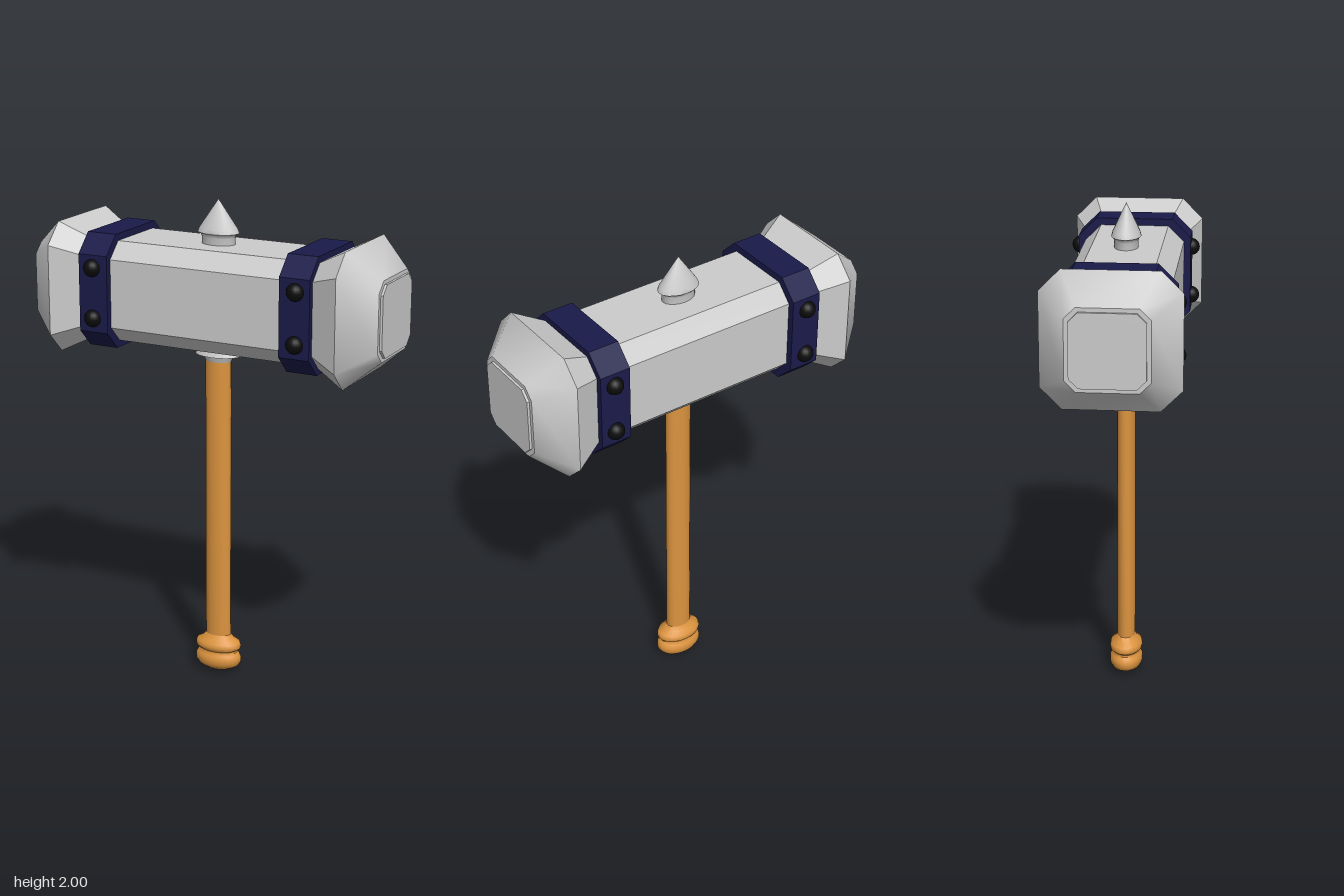
import * as THREE from 'three';
import { toCreasedNormals } from 'three/addons/utils/BufferGeometryUtils.js';

const HEAD_Y = 1.62;
const SQUASH = 0.68; // the shaft parts are oval, thinner front to back

const material = (color, flatShading = false) => new THREE.MeshStandardMaterial({ color, flatShading });

// Chamfered square cross-section in the (y, z) plane
function octagon(half, chamfer) {
  const k = half - chamfer;
  return [[half, k], [k, half], [-k, half], [-half, k], [-half, -k], [-k, -half], [k, -half], [half, -k]];
}

// Closed solid through chamfered squares [x, half, chamfer] with rising x
function loft(sections) {
  const pos = [];
  const rings = sections.map(([x, h, c]) => octagon(h, c).map(([y, z]) => [x, y, z]));
  const tri = (...corners) => corners.forEach((p) => pos.push(...p));
  for (let s = 0; s + 1 < rings.length; s++) {
    const a = rings[s], b = rings[s + 1];
    for (let i = 0; i < 8; i++) {
      const j = (i + 1) % 8;
      tri(a[i], a[j], b[j]);
      tri(a[i], b[j], b[i]);
    }
  }
  const first = rings[0], last = rings[rings.length - 1];
  for (let i = 1; i < 7; i++) {
    tri(first[0], first[i + 1], first[i]);
    tri(last[0], last[i], last[i + 1]);
  }
  const g = new THREE.BufferGeometry();
  g.setAttribute('position', new THREE.Float32BufferAttribute(pos, 3));
  g.computeVertexNormals();
  return g;
}

// Oval turned part from [radius, y] points, bottom to top
function turned(points, segments) {
  const g = new THREE.LatheGeometry(points.map(([r, y]) => new THREE.Vector2(r, y)), segments);
  g.scale(1, 1, SQUASH);
  return toCreasedNormals(g, 0.75);
}

export function createModel() {
  const model = new THREE.Group();
  const steel = material(0xcccccc), flatSteel = material(0xcccccc, true);
  const wood = material(0xdc943f), navy = material(0x1a1a4a, true), black = material(0x0c0c0c);

  const add = (parent, name, geometry, mat) => {
    const mesh = new THREE.Mesh(geometry, mat);
    mesh.name = name;
    parent.add(mesh);
    return mesh;
  };

  // Hammer head
  const head = new THREE.Group();
  head.name = 'head';
  head.position.y = HEAD_Y;
  model.add(head);
  add(head, 'headCore', loft([[-0.51, 0.203, 0.065], [0.51, 0.203, 0.065]]), flatSteel);

  const cap = toCreasedNormals(loft([[0.49, 0.2, 0.06], [0.622, 0.266, 0.083], [0.75, 0.158, 0.042]]), 0.65);
  const plate = loft([[0.74, 0.142, 0.036], [0.76, 0.142, 0.036]]);
  const band = loft([[0.375, 0.231, 0.075], [0.502, 0.231, 0.075]]);
  const rivet = new THREE.SphereGeometry(0.035, 16, 12);

  // Striking ends, bands and rivets, turned half round for the other side
  for (const side of ['left', 'right']) {
    const end = new THREE.Group();
    end.name = side + 'End';
    if (side === 'right') end.rotation.y = Math.PI;
    head.add(end);
    add(end, side + 'Cap', cap, steel);
    add(end, side + 'StrikingPlate', plate, flatSteel);
    add(end, side + 'Band', band, navy);
    for (const y of [-0.1, 0.104]) {
      for (const z of [-0.23, 0.23]) add(end, side + 'Rivet', rivet, black).position.set(0.442, y, z);
    }
  }

  // Spike on top and collar below the head
  add(model, 'topSpike', turned([[0.07, 1.8], [0.07, 1.85], [0.075, 1.862], [0.087, 1.868], [0.08, 1.885], [0, 2]], 20), steel);
  add(model, 'collar', turned([[0, 1.347], [0.055, 1.347], [0.066, 1.37], [0.098, 1.374], [0.085, 1.392], [0.07, 1.43]], 20), steel);

  // Handle
  add(model, 'handle', turned([[0.055, 0.12], [0.055, 1.36]], 16), wood);

  // Ringed pommel
  add(model, 'pommel', turned([
    [0, 0], [0.03, 0.004], [0.06, 0.013], [0.088, 0.028], [0.1, 0.045], [0.1, 0.066], [0.092, 0.08],
    [0.084, 0.088], [0.084, 0.097], [0.098, 0.107], [0.1, 0.118], [0.095, 0.132], [0.07, 0.146], [0.055, 0.165],
  ], 24), wood);

  return model;
}
